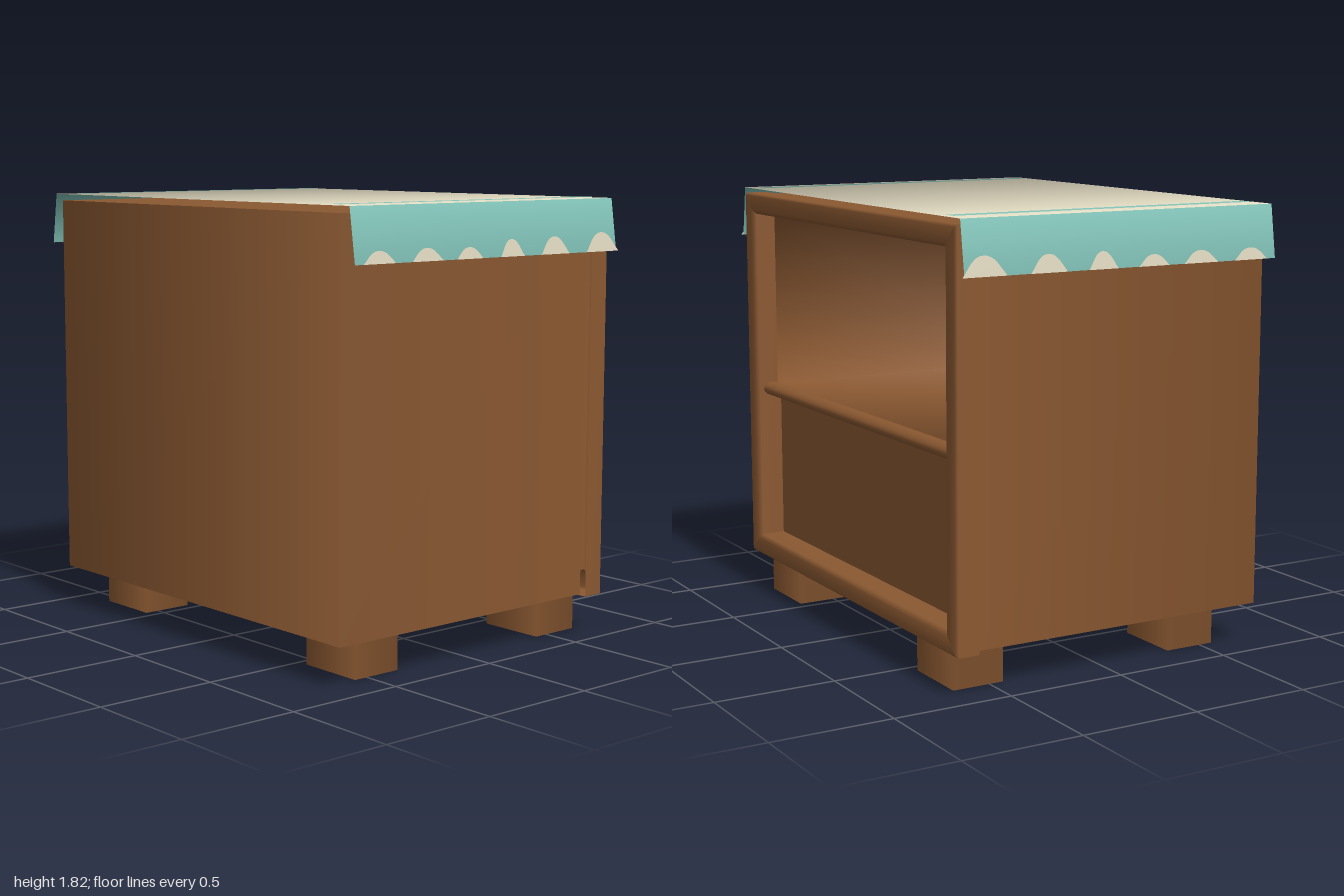
import * as THREE from 'three';
import { mergeVertices } from 'three/addons/utils/BufferGeometryUtils.js';

const mat = (name, color) => {
  const m = new THREE.MeshStandardMaterial({ color, side: THREE.DoubleSide });
  m.name = name;
  return m;
};

// Smooth surface between two matching polylines, with optional normals per step
function strip(a, b, normals) {
  const pos = [], index = [];
  a.forEach((p, i) => {
    pos.push(...p, ...b[i]);
    if (i > 0) {
      const k = 2 * (i - 1);
      index.push(k, k + 1, k + 2, k + 1, k + 3, k + 2);
    }
  });
  const g = new THREE.BufferGeometry();
  g.setAttribute('position', new THREE.Float32BufferAttribute(pos, 3));
  g.setIndex(index);
  if (normals) {
    g.setAttribute('normal', new THREE.Float32BufferAttribute(normals.flatMap(n => [...n, ...n]), 3));
  } else {
    g.computeVertexNormals();
  }
  return g;
}

export function createModel() {
  const root = new THREE.Group();
  root.name = 'bedsideCabinet';
  const wood = mat('wood', 0x8a5831);
  const cream = mat('creamCloth', 0xded7be);
  const teal = mat('tealCloth', 0x7ab8ae);
  const add = (name, geometry, material, parent = root) => {
    const m = new THREE.Mesh(geometry, material);
    m.name = name;
    parent.add(m);
    return m;
  };

  // Thin outer walls, softened around the closed side, open underneath
  const X0 = -0.71, X1 = 0.61, Y0 = 0.17, Y1 = 1.785, Z = 0.92, d = Math.SQRT1_2;
  const plan = [[X1, Z], [X0, Z], [X0, -Z], [X1, -Z]];
  add('walls', strip(plan.map(([x, z]) => [x, Y0, z]), plan.map(([x, z]) => [x, Y1, z]),
    [[0, 0, 1], [-d, 0, d], [-d, 0, -d], [0, 0, -1]]), wood);
  const board = new THREE.PlaneGeometry(X1 - X0, 2 * Z).rotateX(-Math.PI / 2);
  add('topBoard', board, wood).position.set((X0 + X1) / 2, Y1, 0);

  // Frame around the opening, four mitred rails with soft shading
  const profile = [[0.61, 0], [0.7, 0], [0.71, 0.01], [0.71, 0.07], [0.695, 0.088], [0.58, 0.09]];
  const corners = [[-1, 1], [1, 1], [1, -1], [-1, -1]];
  const rail = ([sz, sy]) => profile.map(([x, inset]) =>
    [x, sy > 0 ? 1.79 - inset : 0.165 + inset, sz * (0.95 - inset)]);
  corners.forEach((c, i) => add('frameRail', strip(rail(c), rail(corners[(i + 1) % 4])), wood));

  // Open upper compartment: a soft-shaded box as deep as the cabinet, without its front face
  const depth = 1.31;
  let cavity = new THREE.BoxGeometry(depth, 0.76, 1.72);
  cavity.setIndex(Array.from(cavity.index.array).slice(6));
  cavity.deleteAttribute('uv');
  cavity.deleteAttribute('normal');
  cavity = mergeVertices(cavity);
  cavity.computeVertexNormals();
  add('compartment', cavity, wood).position.set(0.61 - depth / 2, 1.32, 0);

  // Lower drawer panel and the rounded bar above it
  const panel = new THREE.PlaneGeometry(1.72, 0.69).rotateY(Math.PI / 2);
  add('drawerPanel', panel, wood).position.set(0.595, 0.595, 0);
  const bar = new THREE.CylinderGeometry(0.03, 0.03, 1.72, 16).rotateX(Math.PI / 2);
  add('shelfBar', bar.scale(1.4, 1, 1), wood).position.set(0.635, 0.92, 0);

  // Four hollow feet, open underneath
  for (const x of [-0.45, 0.55]) for (const z of [-0.69, 0.69]) {
    const foot = new THREE.CylinderGeometry(d, d, 0.17, 4, 1, true);
    foot.rotateY(Math.PI / 4).scale(0.22, 1, 0.29);
    add('foot', foot, wood).position.set(x, 0.085, z);
  }

  // Cloth runner: cream top with teal hanging ends, normals blended over the folds
  const top = 1.812, low = 1.6, fold = 0.97, cx0 = -0.71, cx1 = 0.7;
  const path = [[low, 1], [top, fold], [top, -fold], [low, -1]];
  const cloth = strip(path.map(([y, z]) => [cx0, y, z]), path.map(([y, z]) => [cx1, y, z]),
    [[0, 0.14, 0.99], [0, 0.75, 0.66], [0, 0.75, -0.66], [0, 0.14, -0.99]]);
  cloth.addGroup(0, 6, 0);
  cloth.addGroup(6, 6, 1);
  cloth.addGroup(12, 6, 0);
  add('clothRunner', cloth, [teal, cream]);

  // Each end: a teal stripe on top and uneven cream scallops along the hem
  const scallops = [[-0.59, 0.08, 0.048], [-0.35, 0.08, 0.05], [-0.13, 0.07, 0.045],
    [0.1, 0.065, 0.068], [0.34, 0.08, 0.07], [0.615, 0.095, 0.078]];
  for (const side of [1, -1]) {
    const end = new THREE.Group();
    end.name = side > 0 ? 'frontClothTrim' : 'backClothTrim';
    end.scale.z = side;
    root.add(end);

    const line = x => [[x, top + 0.003, 0.885], [x, top + 0.003, 0.825]];
    add('stripe', strip(line(-0.68), line(0.68), [[0, 0.8, 0.6], [0, 0.8, 0.6]]), teal, end);

    for (const [x, w, h] of scallops) {
      const s = new THREE.Shape();
      s.moveTo(-w, 0);
      s.lineTo(w, 0);
      s.bezierCurveTo(w * 0.7, h * 0.4, w * 0.5, h, 0, h);
      s.bezierCurveTo(-w * 0.5, h, -w * 0.7, h * 0.4, -w, 0);
      const m = add('scallop', new THREE.ShapeGeometry(s, 8), cream, end);
      m.position.set(x, low, 1.003);
      m.rotation.x = -Math.atan2(1 - fold, top - low);
    }
  }
  return root;
}
